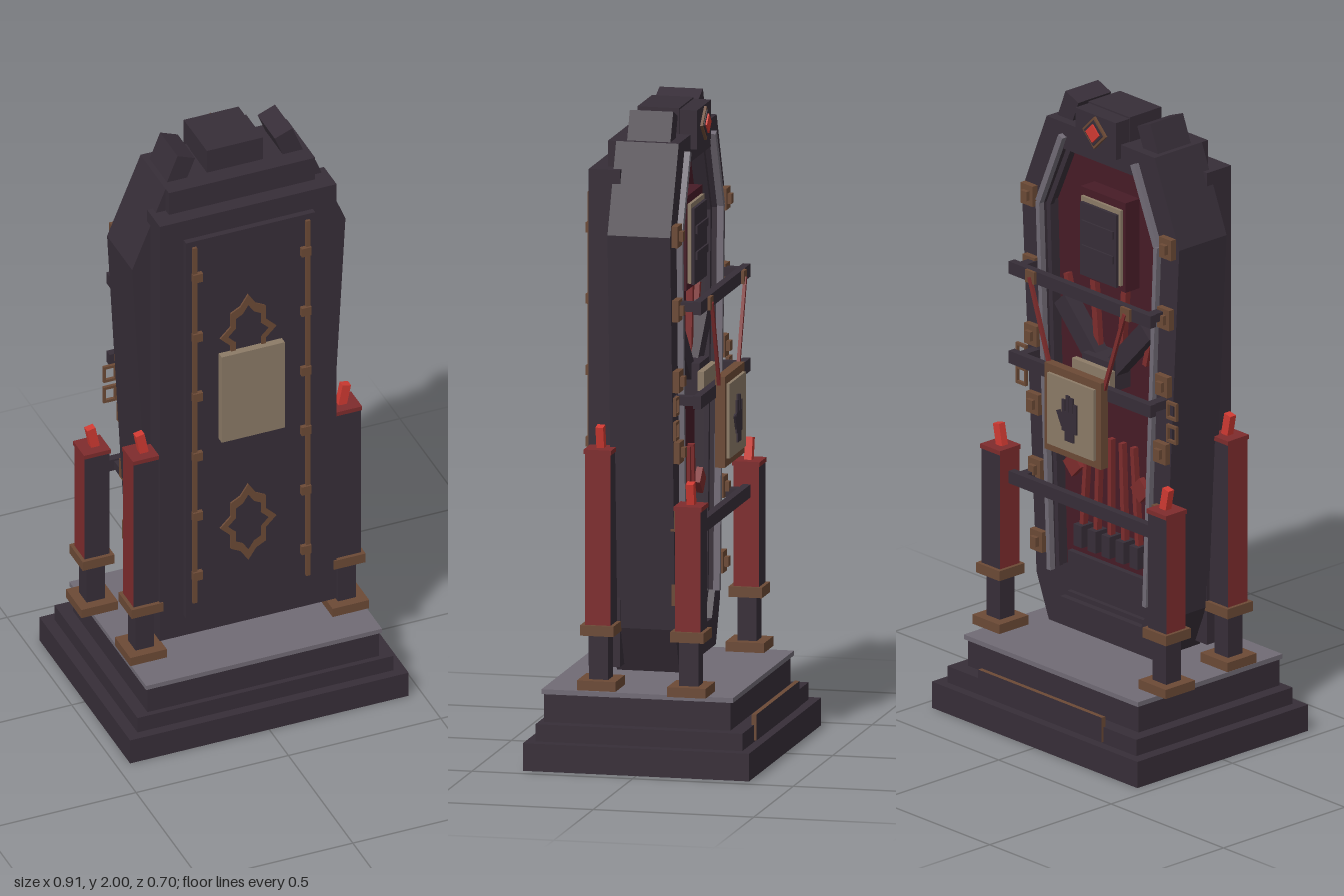
import * as THREE from 'three';

const mat = (name, color) => {
  const m = new THREE.MeshStandardMaterial({ color });
  m.name = name;
  return m;
};

export function createModel() {
  const root = new THREE.Group();
  root.name = 'candlelitCoffin';
  const dark = mat('darkWood', 0x372e38), grey = mat('greyStone', 0x716b75);
  const bronze = mat('bronze', 0x6c4a36), cream = mat('parchment', 0x8c7b67);
  const red = mat('redWax', 0x7e2c2d), ember = mat('emberRed', 0xd03a32);
  const maroon = mat('maroonLining', 0x471c27);
  const darkFaced = (side) => [side, side, side, side, dark, dark];

  const add = (name, geo, m, parent = root) => {
    const mesh = new THREE.Mesh(geo, m);
    mesh.name = name;
    parent.add(mesh);
    return mesh;
  };
  // box given by its limits on each axis
  const box = (name, m, x0, x1, y0, y1, z0, z1, parent = root) => {
    const b = add(name, new THREE.BoxGeometry(x1 - x0, y1 - y0, z1 - z0), m, parent);
    b.position.set((x0 + x1) / 2, (y0 + y1) / 2, (z0 + z1) / 2);
    return b;
  };
  // slim bar between two points in the xy plane
  const bar = (name, m, a, b, z, w, d) => {
    const dx = b[0] - a[0], dy = b[1] - a[1];
    const s = add(name, new THREE.BoxGeometry(w, Math.hypot(dx, dy), d), m);
    s.position.set((a[0] + b[0]) / 2, (a[1] + b[1]) / 2, z);
    s.rotation.z = -Math.atan2(dx, dy);
    return s;
  };
  // symmetric outline from its right half, bottom to top
  const mirrored = (half) => [...half, ...half.slice().reverse().map(([x, y]) => [-x, y])]
    .map(([x, y]) => new THREE.Vector2(x, y));
  const slab = (name, m, outline, hole, z0, z1) => {
    const s = new THREE.Shape(outline);
    if (hole) s.holes.push(new THREE.Path(hole));
    const mesh = add(name, new THREE.ExtrudeGeometry(s, { depth: z1 - z0, bevelEnabled: false }), m);
    mesh.position.z = z0;
    return mesh;
  };

  // stepped plinth
  box('plinthBottom', dark, -0.457, 0.457, 0, 0.085, -0.352, 0.352);
  box('plinthMiddle', dark, -0.42, 0.42, 0.085, 0.138, -0.322, 0.322);
  box('plinthUpper', dark, -0.38, 0.38, 0.138, 0.225, -0.275, 0.305);
  box('plinthTop', grey, -0.387, 0.387, 0.225, 0.24, -0.285, 0.311);
  box('backPlate', darkFaced(bronze), -0.275, 0.275, 0.09, 0.17, -0.33, -0.315);

  // coffin shell, open at the back
  const outer = mirrored([[0.23, 0.28], [0.285, 0.42], [0.35, 1.64], [0.24, 1.91]]);
  const inner = mirrored([[0.18, 0.37], [0.22, 0.45], [0.262, 1.62], [0.155, 1.86]]);
  const trim = mirrored([[0.17, 0.385], [0.205, 0.455], [0.245, 1.615], [0.145, 1.84]]);
  slab('coffinShell', dark, outer, null, 0, 0.115);
  slab('coffinRim', dark, outer, inner, -0.08, 0);
  slab('lining', maroon, inner, null, -0.012, -0.002);
  box('liningLedge', dark, -0.2, 0.2, 0.37, 0.5, -0.03, -0.012);
  for (const s of [-1, 1]) {
    bar('rimTrimSide', grey, [s * 0.212, 0.45], [s * 0.262, 1.63], -0.088, 0.016, 0.02);
    bar('rimTrimTop', grey, [s * 0.262, 1.63], [s * 0.16, 1.87], -0.088, 0.02, 0.02);
  }
  slab('innerTrim', dark, inner, trim, -0.06, -0.045);

  // front slab with raised panel
  box('frontSlab', dark, -0.29, 0.29, 0.3, 1.83, 0.09, 0.188);
  box('frontPanel', dark, -0.212, 0.212, 0.375, 1.76, 0.188, 0.207);
  box('frontPlaque', cream, -0.105, 0.102, 1.01, 1.325, 0.207, 0.231);
  const scroll = (s, cx, cy) => [[0, 1], [0.28, 0.72], [0.62, 0.6], [0.62, 0.25], [1, 0],
    [0.62, -0.25], [0.62, -0.6], [0.28, -0.72], [0, -1], [-0.28, -0.72], [-0.62, -0.6],
    [-0.62, -0.25], [-1, 0], [-0.62, 0.25], [-0.62, 0.6], [-0.28, 0.72]]
    .map(([x, y]) => new THREE.Vector2(cx + x * 0.092 * s, cy + y * 0.14 * s));
  for (const y of [1.38, 0.68])
    slab('frontScroll', bronze, scroll(1, -0.01, y), scroll(0.72, -0.01, y), 0.205, 0.213);
  for (const s of [-1, 1]) {
    box('frontRod', bronze, s * 0.186 - 0.007, s * 0.186 + 0.007, 0.43, 1.74, 0.205, 0.216);
    for (const y of [0.53, 0.75, 0.97, 1.19, 1.41, 1.63])
      box('rodStud', bronze, s * 0.178 - 0.016, s * 0.178 + 0.016, y - 0.015, y + 0.015, 0.205, 0.222);
  }

  // crown
  box('crownStep', dark, -0.24, 0.24, 1.825, 1.91, -0.08, 0.14);
  box('crownBlock', dark, -0.092, 0.092, 1.9, 1.99, -0.045, 0.085);
  for (const s of [-1, 1]) {
    const horn = box('crownHorn', dark, s * 0.18 - 0.031, s * 0.18 + 0.031, 1.88, 1.99, -0.05, 0.085);
    horn.rotation.z = s * 0.38;
  }
  box('crestPlate', dark, -0.09, 0.09, 1.865, 1.985, -0.1, -0.04);
  const diamond = (name, m, x, y, z, r, d) => {
    const g = add(name, new THREE.BoxGeometry(r * 1.414, r * 1.414, d), m);
    g.position.set(x, y, z);
    g.rotation.z = Math.PI / 4;
  };
  diamond('crestFrame', bronze, 0, 1.93, -0.102, 0.052, 0.012);
  diamond('crestInlay', dark, 0, 1.93, -0.106, 0.042, 0.01);
  diamond('crestGem', ember, 0, 1.93, -0.11, 0.03, 0.012);

  // clasps along the rim
  for (const s of [-1, 1]) {
    for (const y of [0.53, 0.76, 0.97, 1.19, 1.41, 1.64]) {
      const x = s * (0.262 + 0.046 * (y - 0.42) / 1.22);
      box('rimClasp', bronze, x - 0.027, x + 0.027, y - 0.033, y + 0.033, -0.1, -0.07);
      box('claspStud', bronze, x - 0.013, x + 0.013, y - 0.015, y + 0.015, -0.113, -0.1);
    }
    for (const y of [1.045, 1.12]) {
      const ring = [[-1, -1], [1, -1], [1, 1], [-1, 1]];
      const at = (r) => ring.map(([a, b]) => new THREE.Vector2(s * 0.335 + a * r, y + b * r * 1.3));
      slab('sideRing', bronze, at(0.022), at(0.015), -0.1, -0.09);
    }
  }

  // lining details
  box('headPanelBack', cream, -0.088, 0.088, 1.45, 1.695, -0.08, -0.07);
  box('headPanel', dark, -0.08, 0.08, 1.445, 1.68, -0.09, -0.08);
  for (const y of [1.52, 1.6]) box('headPanelFold', dark, -0.07, 0.07, y, y + 0.025, -0.096, -0.09);
  box('headPanelMount', maroon, -0.1, 0.1, 1.43, 1.72, -0.07, -0.01);
  box('collar', cream, -0.085, 0.085, 1.12, 1.18, -0.12, -0.1);
  box('collarMount', dark, -0.06, 0.06, 1.1, 1.2, -0.1, -0.01);
  for (const s of [-1, 1]) {
    bar('foldedArm', dark, [s * 0.19, 1.33], [s * 0.04, 1.17], -0.05, 0.06, 0.05);
    bar('upperRibbon', red, [s * 0.07, 1.43], [s * 0.05, 1.2], -0.04, 0.022, 0.02);
    bar('outerRibbon', red, [s * 0.2, 1.4], [s * 0.15, 1.2], -0.03, 0.018, 0.02);
    diamond('liningStud', red, s * 0.15, 0.8, -0.05, 0.04, 0.02);
  }
  for (let i = -2; i <= 2; i++) {
    bar('lowerRibbon', red, [i * 0.05, 0.92], [i * 0.062, 0.6], -0.035, 0.016, 0.02);
    box('ribbonWeight', dark, i * 0.062 - 0.018, i * 0.062 + 0.018, 0.54, 0.61, -0.06, -0.012);
  }

  // cross bars and hanging sign
  for (const y of [1.42, 1.13, 0.74]) {
    box('crossBar', dark, -0.315, 0.315, y - 0.02, y + 0.02, -0.167, -0.143);
    for (const s of [-1, 1]) box('barBracket', dark, s * 0.285 - 0.015, s * 0.285 + 0.015, y - 0.014, y + 0.014, -0.145, -0.08);
  }
  for (const s of [-1, 1]) {
    box('strapPin', bronze, s * 0.212 - 0.02, s * 0.212 + 0.02, 1.4, 1.44, -0.177, -0.165);
    bar('signStrap', red, [s * 0.212, 1.42], [s * 0.12, 1.15], -0.176, 0.012, 0.01);
  }
  box('signFrame', bronze, -0.125, 0.125, 0.895, 1.175, -0.195, -0.165);
  box('signBoard', cream, -0.103, 0.103, 0.92, 1.15, -0.205, -0.19);
  box('handPalm', dark, -0.033, 0.033, 0.985, 1.05, -0.211, -0.204);
  box('handWrist', dark, -0.02, 0.02, 0.955, 0.985, -0.211, -0.204);
  [0.03, 0.048, 0.052, 0.036].forEach((h, i) =>
    box('handFinger', dark, -0.033 + i * 0.017, -0.019 + i * 0.017, 1.05, 1.05 + h, -0.211, -0.204));
  bar('handThumb', dark, [0.028, 1.0], [0.05, 1.045], -0.2075, 0.015, 0.007);

  // candles on stands
  const candle = (x, z, top) => {
    const g = new THREE.Group();
    g.name = 'candleStand';
    g.position.set(x, 0, z);
    root.add(g);
    box('standFoot', bronze, -0.06, 0.06, 0.243, 0.273, -0.06, 0.06, g);
    box('standPost', dark, -0.03, 0.03, 0.273, 0.41, -0.03, 0.03, g);
    box('standCup', bronze, -0.052, 0.052, 0.41, 0.442, -0.052, 0.052, g);
    box('candleBody', darkFaced(red), -0.041, 0.041, 0.442, top, -0.04, 0.04, g);
    box('candleRim', red, -0.044, 0.044, top - 0.012, top + 0.002, -0.043, 0.043, g);
    const flame = box('candleFlame', ember, -0.014, 0.014, top, top + 0.07, -0.012, 0.012, g);
    flame.rotation.z = -Math.sign(x) * 0.2;
  };
  for (const s of [-1, 1]) {
    candle(s * 0.332, 0.14, 0.98);
    candle(s * 0.37, -0.15, 0.825);
  }
  return root;
}
